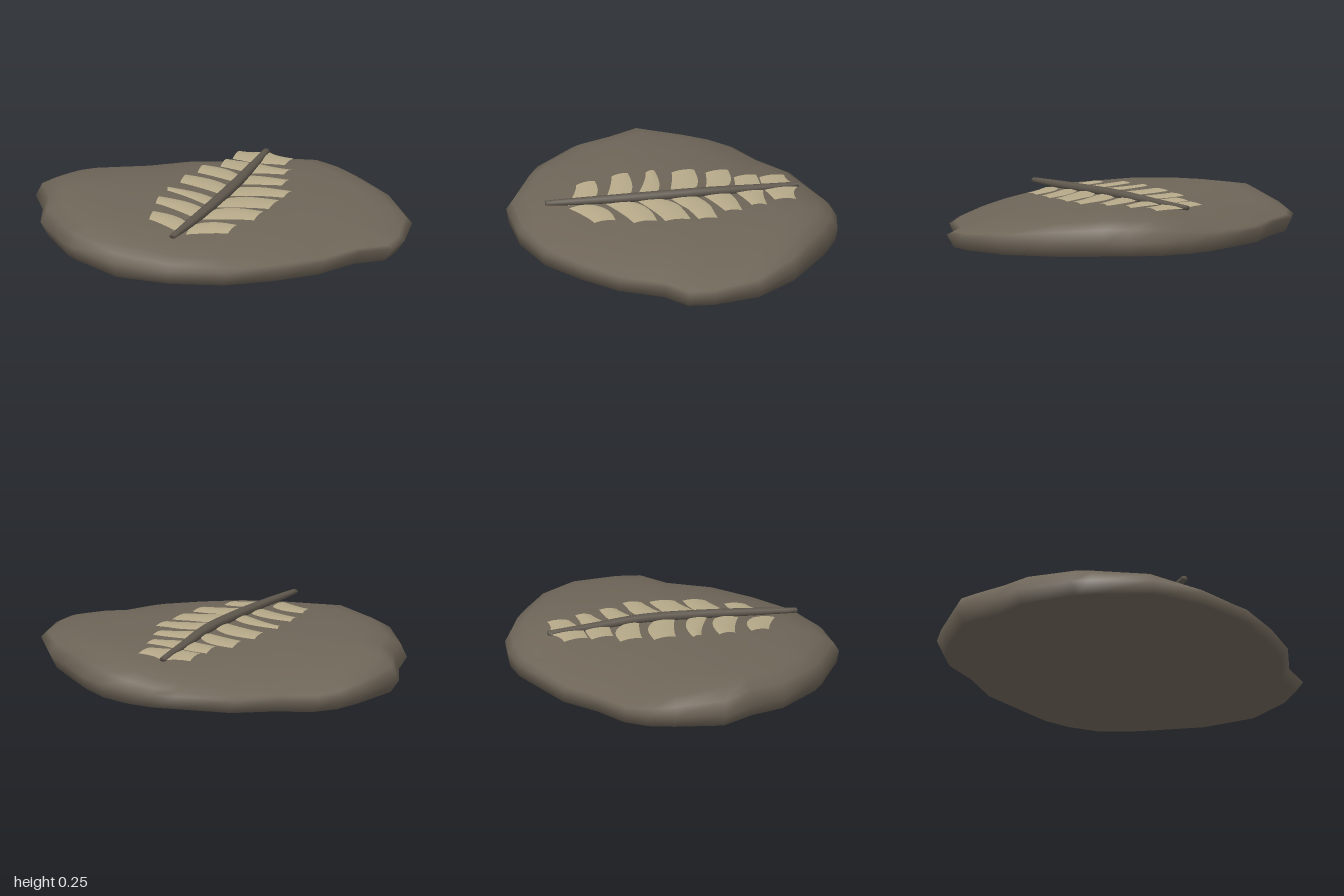
import * as THREE from 'three';

// stone outline as x, z and how gently the stone slopes there (0 steep, 1 gentle), from +x round by the front
const OUTLINE = [
  [0.997, 0, 0.9], [0.98, 0.13, 1], [0.84, 0.23, 1], [0.71, 0.44, 1], [0.52, 0.6, 1], [0.29, 0.745, 0.95],
  [0, 0.815, 0.75], [-0.3, 0.81, 0.35], [-0.58, 0.65, 0.1], [-0.66, 0.59, 0], [-0.85, 0.36, -0.1], [-0.9, 0.18, -0.2],
  [-1, 0, -0.1], [-0.94, -0.25, 0.4], [-0.89, -0.38, 0.75], [-0.8, -0.48, 1], [-0.61, -0.57, 1],
  [-0.42, -0.7, 1], [-0.13, -0.78, 0.85], [0, -0.815, 0.7], [0.15, -0.82, 0.4], [0.31, -0.79, 0.1],
  [0.46, -0.71, 0], [0.57, -0.63, 0], [0.78, -0.47, 0.2], [0.95, -0.25, 0.6],
];
// stone rings: scale, height where steep, height where gentle
const RINGS = [
  [1, 0.07, 0.07], [0.965, 0.135, 0.083], [0.89, 0.175, 0.106], [0.78, 0.195, 0.138],
  [0.6, 0.2, 0.172], [0.4, 0.204, 0.192], [0.2, 0.206, 0.203],
];
const PEAK = 0.207;

// leaflets: tip x, tip z range, root z range
const LEAFLETS = [
  [0.19, -0.60, -0.49, -0.64, -0.46], [0.23, -0.44, -0.36, -0.46, -0.31],
  [0.27, -0.30, -0.21, -0.28, -0.14], [0.33, -0.16, -0.06, -0.10, 0.03],
  [0.31, -0.02, 0.11, 0.08, 0.20], [0.285, 0.15, 0.27, 0.25, 0.36], [0.21, 0.35, 0.46, 0.43, 0.55],
  [-0.11, -0.60, -0.47, -0.64, -0.46], [-0.13, -0.46, -0.34, -0.45, -0.32],
  [-0.21, -0.33, -0.21, -0.24, -0.16], [-0.245, -0.16, -0.04, -0.08, 0.03],
  [-0.27, 0.04, 0.09, 0.10, 0.20], [-0.27, 0.18, 0.27, 0.24, 0.36], [-0.24, 0.36, 0.46, 0.43, 0.55],
];

// gently tilted sheet that the leaflets lie on, dipping towards the front
const sheetY = (x, z) => 0.21 - 0.04 * x * (1 + z) - 0.01 * z - 0.03 * z * z - 0.05 * Math.max(z - 0.2, 0);

function buildGeometry(points, index) {
  const g = new THREE.BufferGeometry();
  g.setAttribute('position', new THREE.Float32BufferAttribute(points, 3));
  g.setIndex(index);
  g.computeVertexNormals();
  return g;
}

// closed rings from the base up, with a centre point above and below
function stoneGeometry() {
  const n = OUTLINE.length, pts = [], idx = [];
  for (const [x, z] of OUTLINE) pts.push(x * 0.95, 0, z * 0.99);
  for (const [s, steep, gentle] of RINGS) {
    for (const [x, z, w] of OUTLINE) pts.push(x * s, THREE.MathUtils.lerp(steep, gentle, w), z * s);
  }
  const top = pts.length / 3, bottom = top + 1;
  pts.push(0, PEAK, 0, 0, 0, 0);
  for (let i = 0; i < n; i++) {
    const next = (i + 1) % n;
    idx.push(bottom, i, next);
    for (let r = 0; r < RINGS.length; r++) {
      const a = r * n + i, b = r * n + next;
      idx.push(a, a + n, b, b, a + n, b + n);
    }
    idx.push(top - n + i, top, top - n + next);
  }
  return buildGeometry(pts, idx);
}

// centre line of the stalk
const stalkCurve = new THREE.CatmullRomCurve3([
  [0.025, 0.208, -0.645], [0.035, 0.214, -0.4], [0.045, 0.224, -0.13],
  [0.025, 0.218, 0.2], [-0.005, 0.21, 0.48], [-0.03, 0.205, 0.665],
].map((p) => new THREE.Vector3(...p)));

// tapered stalk: a round section swept along the curve, thickest in the middle, with closed ends
function stalkGeometry() {
  const steps = 20, sides = 8, pts = [], idx = [];
  for (let i = 0; i <= steps; i++) {
    const t = i / steps, c = stalkCurve.getPoint(t), r = 0.018 + 0.014 * Math.sin(Math.PI * t);
    for (let k = 0; k < sides; k++) {
      const a = k / sides * Math.PI * 2;
      pts.push(c.x + r * Math.cos(a), c.y + r * 0.7 * Math.sin(a), c.z);
    }
  }
  for (let i = 0; i < steps; i++) {
    for (let k = 0; k < sides; k++) {
      const a = i * sides + k, b = i * sides + (k + 1) % sides;
      idx.push(a, b, a + sides, b, b + sides, a + sides);
    }
  }
  const end = steps * sides;
  for (let k = 1; k < sides - 1; k++) idx.push(0, k + 1, k, end, end + k, end + k + 1);
  return buildGeometry(pts, idx);
}

// broad leaflet: its back edge swings out quickly from the stalk, its front edge more slowly
function leafletGeometry([tipX, tip0, tip1, root0, root1]) {
  const nu = 8, nv = 6, pts = [], idx = [];
  const side = Math.sign(tipX), mid = (root0 + root1) / 2;
  const stalkX = stalkCurve.getPoint(THREE.MathUtils.clamp((mid + 0.645) / 1.31, 0, 1)).x;
  for (let i = 0; i <= nu; i++) {
    const u = i / nu;
    const z0 = THREE.MathUtils.lerp(root0, tip0, 1 - (1 - u) ** 3.2);
    const z1 = THREE.MathUtils.lerp(root1, tip1, 1 - (1 - u) ** 1.3);
    for (let j = 0; j <= nv; j++) {
      const v = j / nv, dome = 4 * v * (1 - v);
      const x = THREE.MathUtils.lerp(stalkX + side * 0.015, tipX, u) - side * 0.012 * v * u;
      const z = THREE.MathUtils.lerp(z0, z1, v);
      pts.push(x, sheetY(x, z) + 0.007 * dome, z);
    }
  }
  for (let i = 0; i < nu; i++) {
    for (let j = 0; j < nv; j++) {
      const a = i * (nv + 1) + j, b = a + nv + 1;
      if (side > 0) idx.push(a, a + 1, b, b, a + 1, b + 1);
      else idx.push(a, b, a + 1, b, b + 1, a + 1);
    }
  }
  return buildGeometry(pts, idx);
}

export function createModel() {
  const material = (name, color, side = THREE.FrontSide) => {
    const m = new THREE.MeshStandardMaterial({ color, side });
    m.name = name;
    return m;
  };
  const stoneMat = material('stone brown', 0x6e6558);
  const stalkMat = material('dark stalk', 0x5e574d);
  const leafMat = material('pale leaf', 0xb5a888, THREE.DoubleSide);

  const model = new THREE.Group();
  model.name = 'leafFossil';
  const add = (parent, name, geometry, mat) => {
    const mesh = new THREE.Mesh(geometry, mat);
    mesh.name = name;
    parent.add(mesh);
  };
  add(model, 'stoneSlab', stoneGeometry(), stoneMat);

  const frond = new THREE.Group();
  frond.name = 'frond';
  model.add(frond);
  add(frond, 'stalk', stalkGeometry(), stalkMat);
  LEAFLETS.forEach((leaf, i) => {
    add(frond, `${leaf[0] > 0 ? 'left' : 'right'}Leaflet${i % 7 + 1}`, leafletGeometry(leaf), leafMat);
  });
  return model;
}
